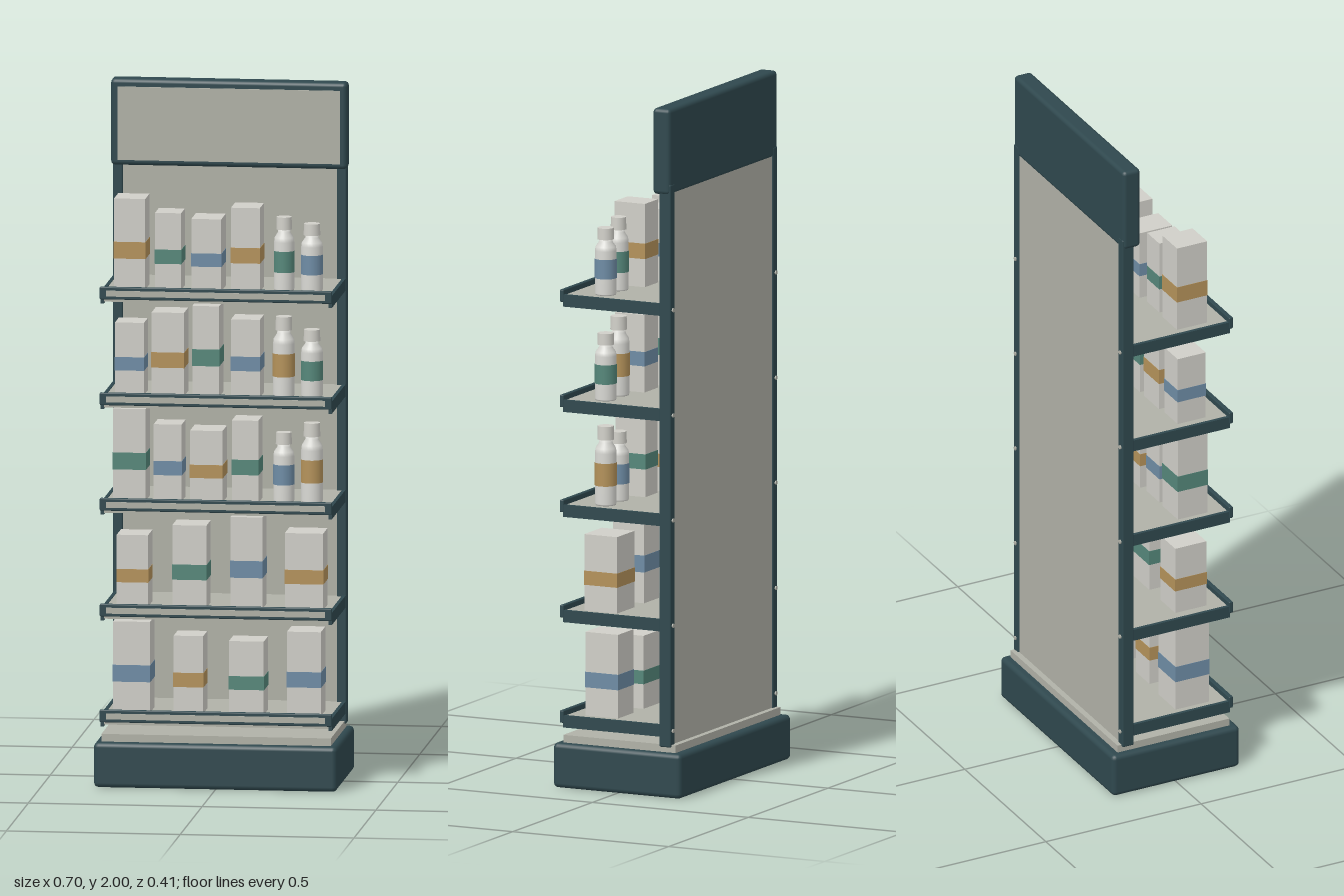
import * as THREE from 'three';
import { RoundedBoxGeometry } from 'three/addons/geometries/RoundedBoxGeometry.js';

const material = (name, color) => {
  const m = new THREE.MeshStandardMaterial({ color });
  m.name = name;
  return m;
};

export function createModel() {
  const frame = material('dark frame', 0x2f484e);
  const panel = material('grey panel', 0xb0b1a7);
  const carton = material('pale carton', 0xd0cfc8);
  const bottleWhite = material('bottle white', 0xd9d9d4);
  const labels = {
    o: material('ochre label', 0xb4925a),
    g: material('green label', 0x55877a),
    b: material('blue label', 0x6e8ca5),
  };

  const model = new THREE.Group();
  model.name = 'displayStand';

  const add = (parent, name, geometry, mat, x = 0, y = 0, z = 0) => {
    const mesh = new THREE.Mesh(geometry, mat);
    mesh.name = name;
    mesh.position.set(x, y, z);
    parent.add(mesh);
    return mesh;
  };
  // Box given by its limits; a radius rounds the edges
  const box = (parent, name, mat, [x0, x1], [y0, y1], [z0, z1], radius = 0) => {
    const size = [x1 - x0, y1 - y0, z1 - z0];
    const geometry = radius
      ? new RoundedBoxGeometry(...size, 2, radius)
      : new THREE.BoxGeometry(...size);
    return add(parent, name, geometry, mat, (x0 + x1) / 2, (y0 + y1) / 2, (z0 + z1) / 2);
  };

  // Plinth and deck
  box(model, 'base', frame, [-0.35, 0.35], [0, 0.13], [-0.205, 0.205], 0.014);
  box(model, 'deck', panel, [-0.33, 0.33], [0.125, 0.152], [-0.18, 0.18]);

  // Back panel, posts and header
  box(model, 'backPanel', panel, [-0.315, 0.315], [0.15, 1.76], [-0.163, -0.142]);
  for (const s of [-1, 1]) {
    const x = s * 0.322;
    box(model, 'post', frame, [x - 0.014, x + 0.014], [0.145, 1.78], [-0.167, -0.13], 0.004);
  }
  box(model, 'header', frame, [-0.34, 0.34], [1.75, 2], [-0.166, -0.11], 0.012);
  box(model, 'headerSign', panel, [-0.32, 0.32], [1.766, 1.978], [-0.113, -0.106]);

  // Carton with a label band round all four sides
  const addCarton = (parent, x, w, d, h, label) => {
    const g = new THREE.Group();
    g.name = 'carton';
    g.position.set(x, 0, 0.075);
    parent.add(g);
    add(g, 'cartonBody', new THREE.BoxGeometry(w, h, d), carton, 0, h / 2, 0);
    add(g, 'cartonLabel', new THREE.BoxGeometry(w + 0.002, h * 0.185, d + 0.002),
      label, 0, h * 0.43, 0);
  };

  // Bottle with shoulder, neck, cap and label
  const addBottle = (parent, x, r, h, label) => {
    const g = new THREE.Group();
    g.name = 'bottle';
    g.position.set(x, 0, 0.078);
    parent.add(g);
    const profile = [[0, 0], [0.94, 0], [1, 0.02], [1, 0.66], [0.94, 0.72], [0.62, 0.79], [0.58, 0.85], [0, 0.85]];
    add(g, 'bottleBody', new THREE.LatheGeometry(
      profile.map(([a, b]) => new THREE.Vector2(a * r, b * h)), 24), bottleWhite);
    add(g, 'bottleCap', new THREE.CylinderGeometry(r * 0.74, r * 0.78, h * 0.17, 24),
      carton, 0, h * 0.915, 0);
    add(g, 'bottleLabel', new THREE.CylinderGeometry(r + 0.001, r + 0.001, h * 0.29, 24, 1, true),
      label, 0, h * 0.395, 0);
  };

  // Shelves from the bottom up: cartons [x, width, depth, height, label], bottles [x, radius, height, label]
  const shelves = [
    { y: 0.207, cartons: [[-0.25, 0.106, 0.108, 0.263, 'b'], [-0.087, 0.085, 0.095, 0.224, 'o'],
      [0.08, 0.1, 0.1, 0.212, 'g'], [0.246, 0.097, 0.105, 0.243, 'b']], bottles: [] },
    { y: 0.513, cartons: [[-0.248, 0.09, 0.1, 0.207, 'o'], [-0.084, 0.098, 0.1, 0.238, 'g'],
      [0.08, 0.092, 0.1, 0.265, 'b'], [0.246, 0.11, 0.105, 0.222, 'o']], bottles: [] },
    { y: 0.819, cartons: [[-0.257, 0.094, 0.095, 0.265, 'g'], [-0.147, 0.08, 0.09, 0.222, 'b'],
      [-0.035, 0.093, 0.105, 0.207, 'o'], [0.076, 0.076, 0.095, 0.238, 'g']],
      bottles: [[0.182, 0.03, 0.2, 'b'], [0.263, 0.031, 0.229, 'o']] },
    { y: 1.124, cartons: [[-0.257, 0.083, 0.09, 0.209, 'b'], [-0.146, 0.093, 0.1, 0.241, 'o'],
      [-0.037, 0.077, 0.1, 0.262, 'g'], [0.077, 0.083, 0.095, 0.225, 'b']],
      bottles: [[0.182, 0.031, 0.23, 'o'], [0.263, 0.031, 0.194, 'g']] },
    { y: 1.43, cartons: [[-0.256, 0.09, 0.097, 0.262, 'o'], [-0.146, 0.075, 0.088, 0.222, 'g'],
      [-0.035, 0.086, 0.105, 0.208, 'b'], [0.077, 0.083, 0.097, 0.242, 'o']],
      bottles: [[0.183, 0.029, 0.212, 'g'], [0.263, 0.031, 0.194, 'b']] },
  ];

  for (const { y, cartons, bottles } of shelves) {
    const shelf = new THREE.Group();
    shelf.name = 'shelf';
    shelf.position.y = y;
    model.add(shelf);
    box(shelf, 'shelfPlate', panel, [-0.326, 0.326], [-0.028, 0], [-0.142, 0.178]);
    for (const s of [-1, 1]) {
      const x = s * 0.328;
      box(shelf, 'sideRail', frame, [x - 0.005, x + 0.005], [-0.033, 0.002], [-0.135, 0.18]);
      // Fixing screw on the back of the post
      const screw = add(shelf, 'screw', new THREE.CylinderGeometry(0.006, 0.006, 0.005, 10),
        panel, s * 0.323, -0.015, -0.168);
      screw.rotation.x = Math.PI / 2;
    }
    // Front lip with a pale ticket strip
    box(shelf, 'frontLip', frame, [-0.334, 0.334], [-0.02, 0.016], [0.177, 0.19], 0.003);
    box(shelf, 'ticketStrip', panel, [-0.315, 0.315], [-0.011, 0.006], [0.187, 0.192]);
    cartons.forEach(([x, w, d, h, c]) => addCarton(shelf, x, w, d, h, labels[c]));
    bottles.forEach(([x, r, h, c]) => addBottle(shelf, x, r, h, labels[c]));
  }

  return model;
}
